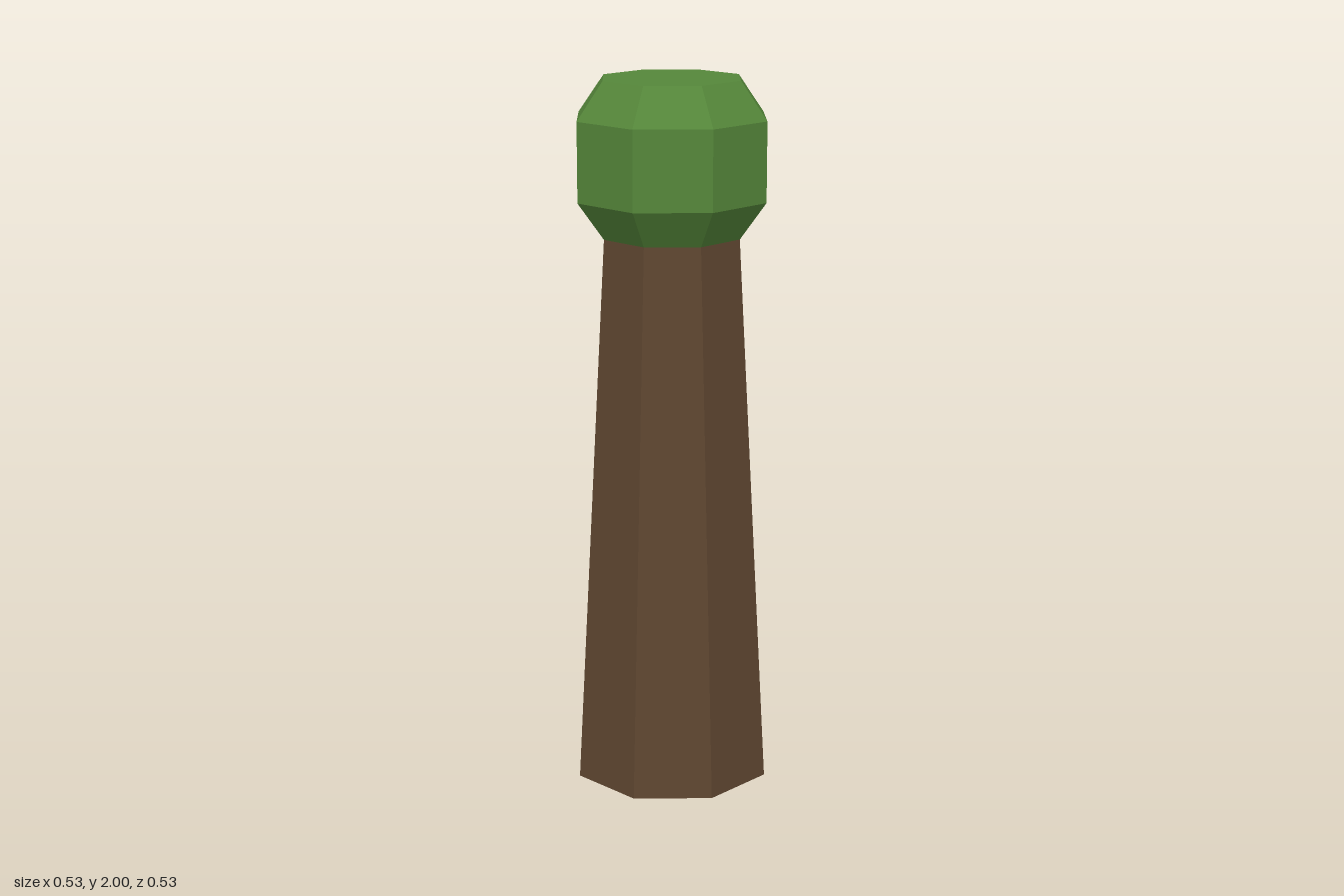
import * as THREE from 'three';

const SIDES = 8;

// Faceted solid from [apothem, height] pairs, listed bottom to top, with a flat side facing front
function facetedSolid(name, profile, material) {
  const points = profile.map(([apothem, y]) =>
    new THREE.Vector2(apothem / Math.cos(Math.PI / SIDES), y));
  const geometry = new THREE.LatheGeometry(points, SIDES, Math.PI / SIDES).toNonIndexed();
  geometry.computeVertexNormals();
  const mesh = new THREE.Mesh(geometry, material);
  mesh.name = name;
  return mesh;
}

export function createModel() {
  const bark = new THREE.MeshStandardMaterial({ color: 0x5e4630, flatShading: true });
  bark.name = 'bark brown';
  const leaf = new THREE.MeshStandardMaterial({ color: 0x55873a, flatShading: true });
  leaf.name = 'leaf green';

  const group = new THREE.Group();
  group.name = 'tree';

  // Tapered trunk, closed at the foot; the crown closes its top
  group.add(facetedSolid('trunk', [[0, 0], [0.267, 0], [0.185, 1.57]], bark));

  // Chunky crown with bevelled top and bottom
  group.add(facetedSolid('crown', [
    [0, 1.57], [0.185, 1.57], [0.255, 1.675], [0.255, 1.895], [0.185, 2], [0, 2],
  ], leaf));

  return group;
}
